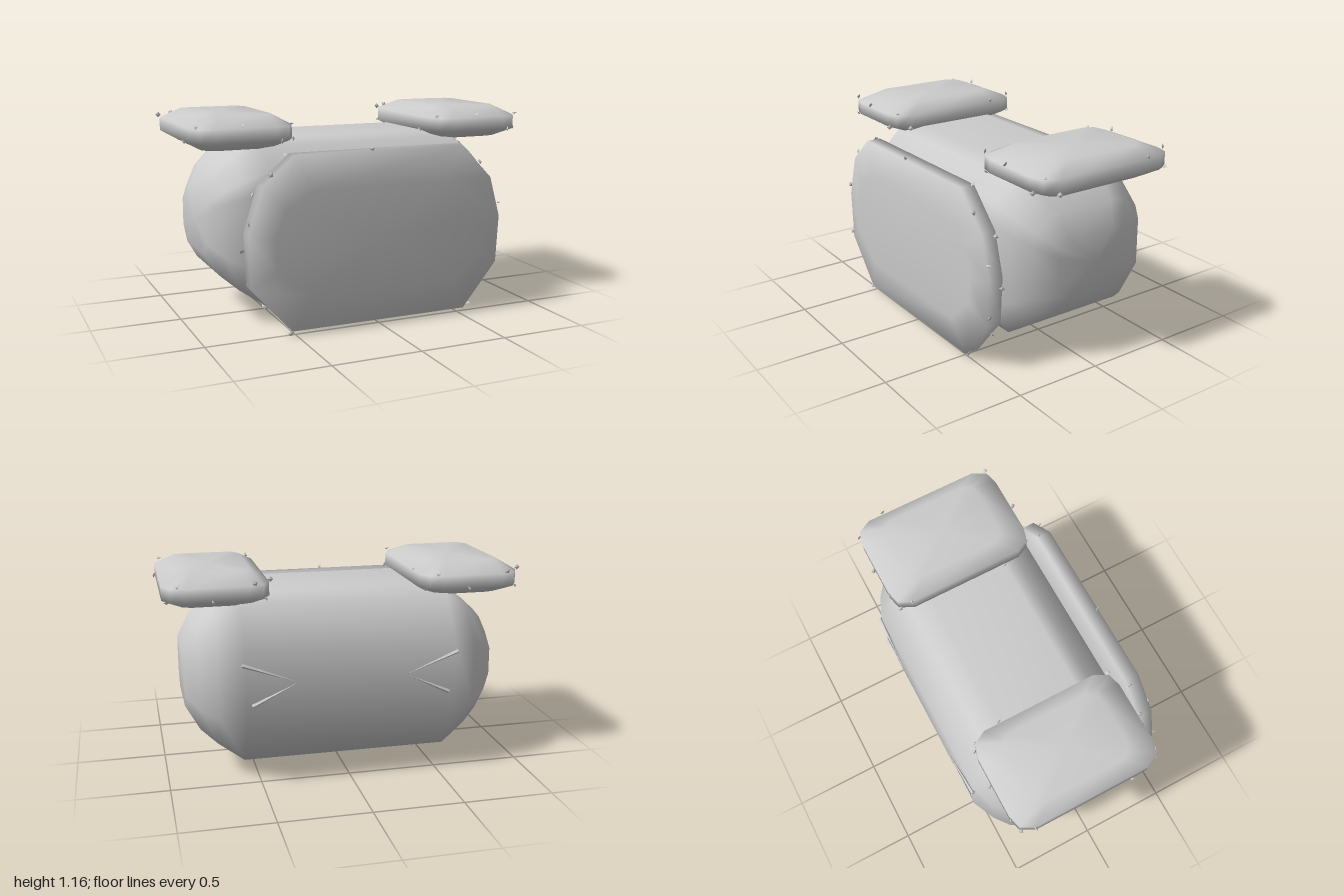
import * as THREE from 'three';

const material = new THREE.MeshStandardMaterial({ color: 0xcccccc });
const fleckMaterial = new THREE.MeshStandardMaterial({ color: 0xcccccc, flatShading: true, side: THREE.DoubleSide });

// Axis orders that place (u, v, w) into the model frame
const alongX = (u, v, w) => [w, u, v];
const alongY = (u, v, w) => [v, w, u];
const alongZ = (u, v, w) => [u, v, w];

// Soft closed shape: an outline scaled about its centre on each layer [w, scaleU, scaleV]
function pillow(name, outline, [cu, cv], layers, place) {
  const positions = [], index = [], n = outline.length;
  for (const [w, su, sv] of layers)
    for (const [u, v] of outline) positions.push(...place(cu + (u - cu) * su, cv + (v - cv) * sv, w));
  const last = (layers.length - 1) * n, bottom = layers.length * n, top = bottom + 1;
  positions.push(...place(cu, cv, layers[0][0]), ...place(cu, cv, layers.at(-1)[0]));
  for (let i = 0; i < n; i++) {
    const j = (i + 1) % n;
    for (let k = 0; k < last; k += n) index.push(k + i, k + j, k + n + j, k + i, k + n + j, k + n + i);
    index.push(bottom, j, i, top, last + i, last + j);
  }
  const geometry = new THREE.BufferGeometry();
  geometry.setAttribute('position', new THREE.Float32BufferAttribute(positions, 3));
  geometry.setIndex(index);
  geometry.computeVertexNormals();
  const mesh = new THREE.Mesh(geometry, material);
  mesh.name = name;
  return mesh;
}

// Small loose flecks spread around a cushion's rim
function flecks(name, outline, [cu, cv], w0, w1, place, count) {
  const group = new THREE.Group();
  group.name = name;
  const geometry = new THREE.OctahedronGeometry(0.016).scale(1, 1, 0.4);
  for (let i = 0; i < count; i++) {
    const s = (i / count) * outline.length, a = Math.floor(s), f = s - a;
    const p = outline[a], q = outline[(a + 1) % outline.length];
    const u = p[0] + (q[0] - p[0]) * f, v = p[1] + (q[1] - p[1]) * f;
    const mesh = new THREE.Mesh(geometry, fleckMaterial);
    mesh.position.set(...place(cu + (u - cu) * 1.02, cv + (v - cv) * 1.02, i % 2 ? w0 : w1));
    mesh.rotation.set(i * 1.3, i * 2.1, i * 0.7);
    group.add(mesh);
  }
  return group;
}

// Slender spike between two points
function crease(from, to) {
  const a = new THREE.Vector3(...from), b = new THREE.Vector3(...to), d = b.clone().sub(a);
  const mesh = new THREE.Mesh(new THREE.ConeGeometry(0.012, d.length(), 4), fleckMaterial);
  mesh.position.copy(a).add(b).multiplyScalar(0.5);
  mesh.quaternion.setFromUnitVectors(new THREE.Vector3(0, 1, 0), d.normalize());
  mesh.name = 'crease';
  return mesh;
}

export function createModel() {
  const model = new THREE.Group();

  // Rounded body, lofted from side to side
  const bodyOutline = [[0.1, -0.41], [0.34, -0.565], [0.77, -0.56], [0.99, -0.41], [1.025, -0.28],
    [1.025, 0.18], [0.99, 0.26], [0.88, 0.37], [0.78, 0.41], [0.31, 0.41], [0.1, 0.27]];
  const half = [[0.58, 1, 1], [0.72, 0.79, 0.88], [0.81, 0.62, 0.75], [0.885, 0.36, 0.52]];
  const bodyLayers = [...half.map(([x, a, b]) => [-x, a, b]).reverse(), ...half];
  model.add(pillow('body', bodyOutline, [0.55, -0.08], bodyLayers, alongX));

  // Upright cushion on the front
  const frontOutline = [[-0.52, 0.025], [0.53, 0.025], [0.74, 0.28], [0.755, 0.55], [0.69, 0.78],
    [0.5, 0.975], [-0.5, 0.975], [-0.68, 0.82], [-0.76, 0.57], [-0.75, 0.28]];
  const frontCentre = [0, 0.5];
  model.add(pillow('frontCushion', frontOutline, frontCentre,
    [[0.41, 0.82, 0.6], [0.438, 1, 1], [0.522, 1, 1], [0.55, 0.82, 0.6]], alongZ));
  model.add(flecks('frontFlecks', frontOutline, frontCentre, 0.45, 0.52, alongZ, 18));

  // Flat cushions resting on both sides of the top
  for (const [side, sign] of [['left', 1], ['right', -1]]) {
    const x = sign * 0.705, centre = [-0.062, x];
    const outline = [[-0.33, -0.285], [0.33, -0.285], [0.405, -0.245], [0.425, -0.17], [0.425, 0.17],
      [0.405, 0.245], [0.33, 0.285], [-0.33, 0.285], [-0.405, 0.245], [-0.425, 0.17],
      [-0.425, -0.17], [-0.405, -0.245]].map(([u, v]) => [u + centre[0], v + x]);
    model.add(pillow(side + 'ArmCushion', outline, centre,
      [[0.98, 0.74, 0.7], [1.03, 1, 1], [1.105, 1, 1], [1.16, 0.68, 0.7]], alongY));
    model.add(flecks(side + 'ArmFlecks', outline, centre, 1.03, 1.12, alongY, 14));

    // Angled crease on the back
    const tip = [sign * 0.3, 0.59, -0.575];
    model.add(crease([sign * 0.6, 0.7, -0.565], tip), crease([sign * 0.55, 0.47, -0.57], tip));
  }
  return model;
}
